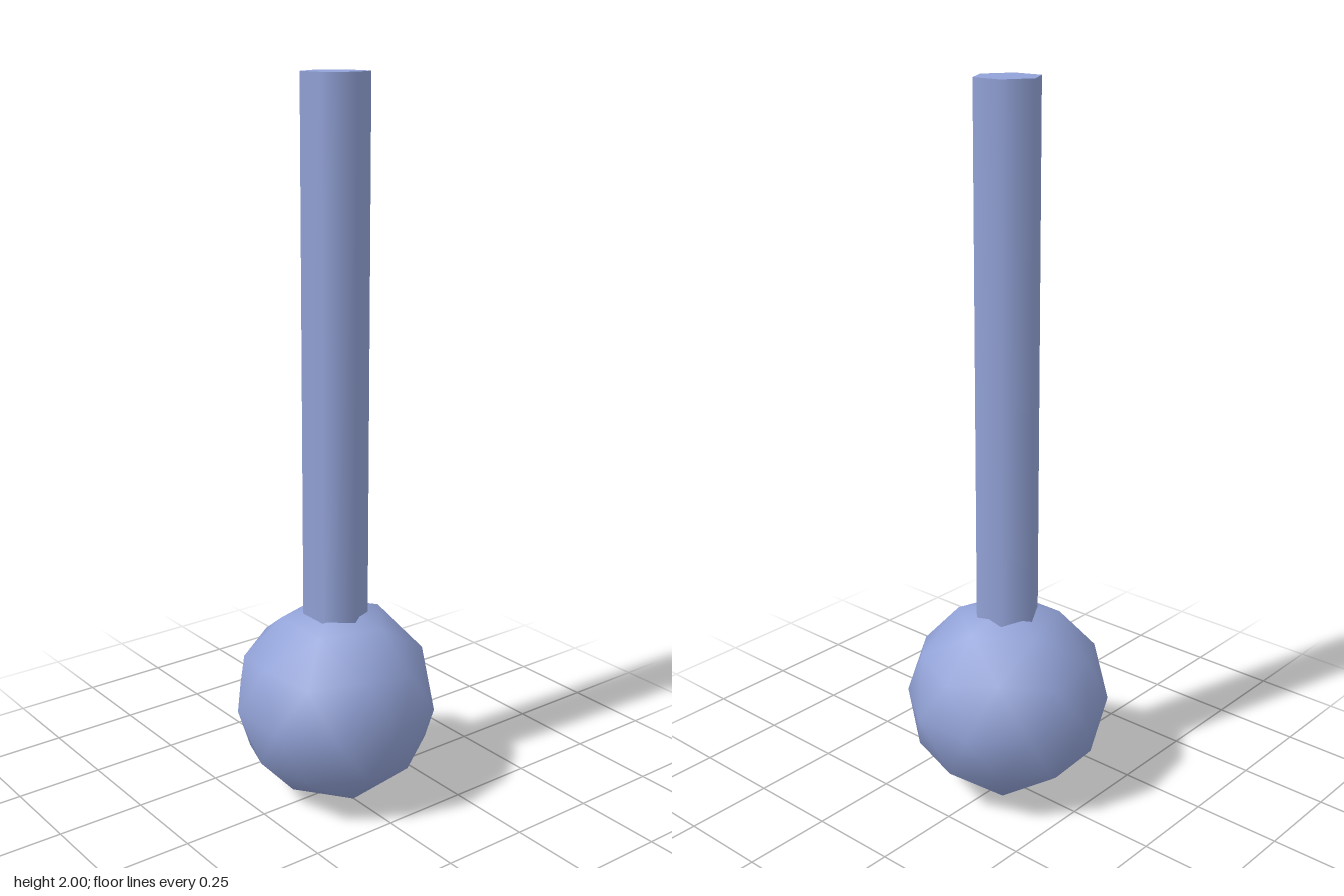
import * as THREE from 'three';

const BALL_RADIUS = 0.286;
const ROD_RADIUS = 0.09;
const ROD_BOTTOM = 0.45; // sunk into the ball
const TOP = 2;

export function createModel() {
  const model = new THREE.Group();
  const material = new THREE.MeshStandardMaterial({ color: 0x93a3d8 });

  // Smooth-shaded low-poly ball, turned so one icosahedron corner points straight up
  const ballGeometry = new THREE.IcosahedronGeometry(BALL_RADIUS, 1);
  const goldenRatio = (1 + Math.sqrt(5)) / 2;
  ballGeometry.rotateZ(-Math.atan(1 / goldenRatio));
  const ball = new THREE.Mesh(ballGeometry, material);
  ball.name = 'ball';
  ball.position.y = BALL_RADIUS;
  model.add(ball);

  // Six-sided rod rising from the ball, with corners facing front and back
  const length = TOP - ROD_BOTTOM;
  const rod = new THREE.Mesh(new THREE.CylinderGeometry(ROD_RADIUS, ROD_RADIUS, length, 6), material);
  rod.name = 'rod';
  rod.position.y = ROD_BOTTOM + length / 2;
  model.add(rod);

  return model;
}
